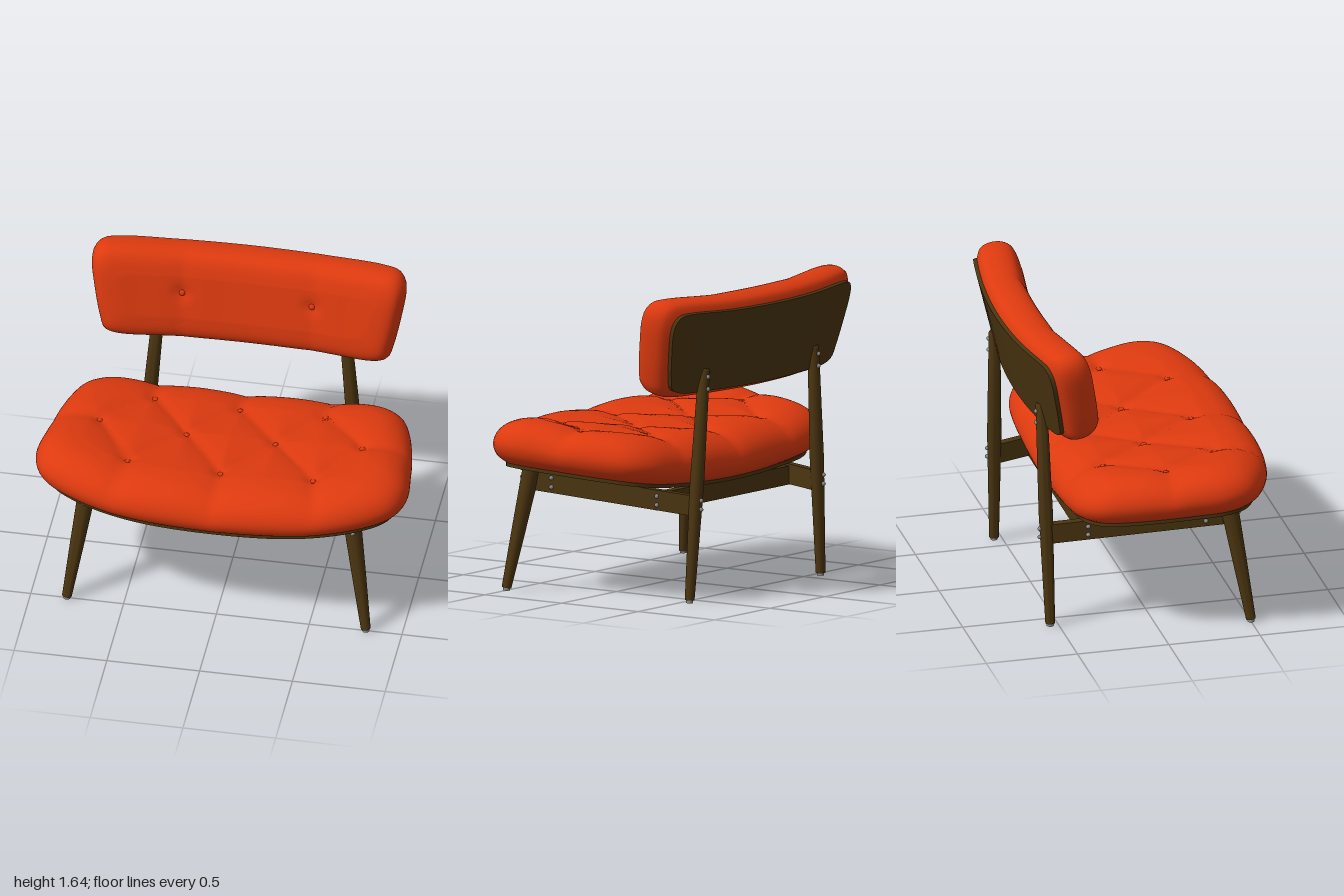
import * as THREE from 'three';
import { toCreasedNormals } from 'three/addons/utils/BufferGeometryUtils.js';

const V3 = (x, y, z) => new THREE.Vector3(x, y, z);

// Closed smooth outline from its right half, mirrored in x
function outline(half, count) {
  const inner = half.slice(1, -1).reverse().map(([a, b]) => [-a, b]);
  const pts = [...half, ...inner].map(([a, b]) => V3(a, b, 0));
  return new THREE.CatmullRomCurve3(pts, true, 'centripetal').getSpacedPoints(count).slice(0, count);
}

// Rings that run from the underside centre, around the edge profile [inset, height], to the top centre
function ringBody(pts, profile, map, topRings) {
  const hx = Math.max(...pts.map(p => p.x));
  const lo = Math.min(...pts.map(p => p.y)), hi = Math.max(...pts.map(p => p.y));
  const mid = (lo + hi) / 2, hy = (hi - lo) / 2;
  const rings = [];
  for (let k = 0; k < 8; k++) rings.push([profile[0][0], profile[0][1], k / 8 + 0.001]);
  profile.forEach(([d, h]) => rings.push([d, h, 1]));
  const [dEnd, hEnd] = profile[profile.length - 1];
  for (let k = 1; k <= topRings; k++) rings.push([dEnd, hEnd, 1.001 - k / topRings]);
  const pos = [], index = [], n = pts.length;
  for (const [d, h, t] of rings)
    for (const p of pts)
      pos.push(...map(p.x * (1 - d / hx) * t, mid + (p.y - mid) * (1 - d / hy) * t, h));
  for (let i = 0; i < rings.length - 1; i++)
    for (let j = 0; j < n; j++) {
      const k = (j + 1) % n, a = i * n + j, b = i * n + k, c = b + n, e = a + n;
      index.push(a, b, c, a, c, e);
    }
  const g = new THREE.BufferGeometry();
  g.setAttribute('position', new THREE.Float32BufferAttribute(pos, 3));
  g.setIndex(index);
  g.computeVertexNormals();
  return g;
}

const roundProfile = pts =>
  new THREE.SplineCurve(pts.map(([d, h]) => new THREE.Vector2(d, h))).getPoints(24).map(p => [p.x, p.y]);

function segDist(x, z, [x1, z1, x2, z2]) {
  const dx = x2 - x1, dz = z2 - z1;
  const t = THREE.MathUtils.clamp(((x - x1) * dx + (z - z1) * dz) / (dx * dx + dz * dz), 0, 1);
  return Math.hypot(x - x1 - t * dx, z - z1 - t * dz);
}

// Seat tufting: buttons and the creases that join them (right half, mirrored by |x|)
const seatButtons = [[0, -0.22], [0.46, -0.22], [0.24, 0.06], [0.71, 0.06], [0, 0.38], [0.5, 0.38]];
const seatCreases = [
  [0, -0.22, 0.24, 0.06], [0.24, 0.06, 0, 0.38], [0.46, -0.22, 0.24, 0.06], [0.46, -0.22, 0.71, 0.06],
  [0.24, 0.06, 0.5, 0.38], [0.71, 0.06, 0.5, 0.38], [0.71, 0.06, 1, 0.04],
  [0, 0.38, 0, 0.7], [0.5, 0.38, 0.55, 0.7], [0, -0.22, 0, -0.5], [0.46, -0.22, 0.48, -0.5],
];
const seatBase = (x, z) => 0.61 + 0.055 * z + 0.08 * x * x;
function seatMap(x, b, h) {
  const z = -b, ax = Math.abs(x);
  const crease = Math.max(...seatCreases.map(s => 0.034 * Math.exp(-segDist(ax, z, s) / 0.1)));
  const dimple = Math.max(...seatButtons.map(([u, v]) => 0.016 * Math.exp(-(((ax - u) ** 2 + (z - v) ** 2) / 0.0016))));
  return [x, seatBase(x, z) + h * (0.262 - crease - dimple), z];
}

// Backrest: bowed in plan, with a soft crease through each button
const bow = x => 0.13 * x * x - 0.11;
function backMap(x, y, h) {
  const d = Math.abs(Math.abs(x) - 0.35);
  const dimple = 0.014 * Math.exp(-(d * d + (y - 0.02) ** 2) / 0.002);
  return [x, y, bow(x) + h * (0.225 - 0.012 * Math.exp(-d / 0.08) - dimple)];
}

export function createModel() {
  const model = new THREE.Group();
  const mat = (name, color) => Object.assign(new THREE.MeshStandardMaterial({ color }), { name });
  const fabric = mat('orange red fabric', 0xdd3a0f);
  const wood = mat('dark wood', 0x4b3510);
  const metal = mat('grey metal', 0x8e8e8e);
  const add = (name, geo, material, parent = model) => {
    const m = new THREE.Mesh(geo, material);
    m.name = name;
    parent.add(m);
    return m;
  };
  const button = (name, p, parent, flat) => {
    const m = add(name, new THREE.SphereGeometry(0.018, 16, 10), fabric, parent);
    m.position.set(...p);
    m.scale[flat] = 0.65;
  };
  const screw = (x, y, z) =>
    add('screw', new THREE.SphereGeometry(0.012, 12, 8), metal).position.set(x, y, z);

  // Seat cushion, its shell and the cover plate underneath
  const seatLine = outline([[0, -0.685], [0.5, -0.66], [0.8, -0.575], [0.95, -0.475], [1, -0.35], [0.985, -0.15],
    [0.965, 0], [0.92, 0.2], [0.86, 0.34], [0.74, 0.425], [0.4, 0.455], [0, 0.465]], 144);
  add('seatCushion', ringBody(seatLine, roundProfile([[0.07, 0], [0.02, 0.14], [0, 0.36], [0.018, 0.6],
    [0.065, 0.8], [0.14, 0.94], [0.24, 1]]), seatMap, 36), fabric);
  const shellMap = (x, b, h) => [x, seatBase(x, -b) - 0.015 + h * 0.02, -b];
  add('seatShell', toCreasedNormals(ringBody(seatLine, [[0.062, 0], [0.062, 1]], shellMap, 8), 0.7), wood);
  for (const [x, z] of seatButtons)
    for (const s of x ? [1, -1] : [1]) button('seatButton', seatMap(s * x, -z, 1), model, 'y');
  const plate = add('underseatPlate', new THREE.BoxGeometry(0.72, 0.009, 0.35), metal);
  plate.position.set(0, 0.596, 0.075);
  plate.rotation.x = -0.055;

  // Backrest cushion and rear panel, tilted back
  const back = new THREE.Group();
  back.name = 'backrest';
  back.position.set(0, 1.365, -0.515);
  back.rotation.x = -0.24;
  model.add(back);
  const backLine = outline([[0, -0.27], [0.4, -0.27], [0.7, -0.267], [0.765, -0.24], [0.79, -0.17], [0.825, 0],
    [0.845, 0.15], [0.835, 0.215], [0.8, 0.255], [0.72, 0.268], [0.4, 0.265], [0, 0.265]], 144);
  add('backCushion', ringBody(backLine, roundProfile([[0.05, 0], [0.012, 0.13], [0, 0.35], [0.008, 0.62],
    [0.035, 0.84], [0.08, 0.95], [0.15, 1]]), backMap, 30), fabric, back);
  const panelMap = (x, y, h) => [x, y, bow(x) - 0.018 + h * 0.025];
  add('backPanel', toCreasedNormals(ringBody(backLine, [[0.045, 0], [0.045, 1]], panelMap, 8), 0.7), wood, back);
  for (const s of [1, -1]) button('backButton', backMap(s * 0.35, 0.02, 1), back, 'z');

  // Tapered round leg from foot to top, with a small glide
  const leg = (name, foot, top, rFoot, rMid, rTop) => {
    const L = foot.distanceTo(top);
    const pts = [[0, 0], [rFoot, 0], [rMid, L * 0.5], [rTop, L - 0.012], [rTop * 0.75, L], [0, L]];
    const g = new THREE.LatheGeometry(pts.map(([r, y]) => new THREE.Vector2(r, y)), 24);
    const m = add(name, toCreasedNormals(g, 0.6), wood);
    m.position.copy(foot);
    m.quaternion.setFromUnitVectors(V3(0, 1, 0), top.clone().sub(foot).normalize());
    add('footGlide', new THREE.CylinderGeometry(0.019, 0.019, 0.02, 16), metal).position.set(foot.x, 0.01, foot.z);
  };
  const beam = (name, a, b, h, t) => {
    const m = add(name, new THREE.BoxGeometry(t, h, a.distanceTo(b)), wood);
    m.position.copy(a).add(b).multiplyScalar(0.5);
    m.lookAt(b);
  };

  for (const s of [1, -1]) {
    leg('frontLeg', V3(s * 0.805, 0.015, 0.5), V3(s * 0.712, 0.665, 0.4), 0.026, 0.038, 0.048);
    leg('rearLeg', V3(s * 0.595, 0.015, -0.545), V3(s * 0.495, 1.25, -0.568), 0.026, 0.038, 0.031);
    beam('sideRail', V3(s * 0.695, 0.591, 0.38), V3(s * 0.555, 0.518, -0.535), 0.108, 0.045);
    // Fixings on legs and rails
    for (const y of [0.605, 0.65]) screw(s * 0.726, y, 0.453);
    for (const y of [0.5, 0.548]) screw(s * 0.556, y, -0.592);
    for (const y of [1.14, 1.205]) screw(s * 0.502, y, -0.598);
    for (const y of [0.56, 0.61]) screw(s * 0.704, y, 0.28);
    for (const y of [0.508, 0.555]) screw(s * 0.609, y, -0.34);
  }
  // Cross rails
  beam('frontRail', V3(-0.68, 0.58, 0.28), V3(0.68, 0.58, 0.28), 0.09, 0.05);
  beam('rearRail', V3(-0.585, 0.525, -0.34), V3(0.585, 0.525, -0.34), 0.1, 0.05);
  return model;
}
